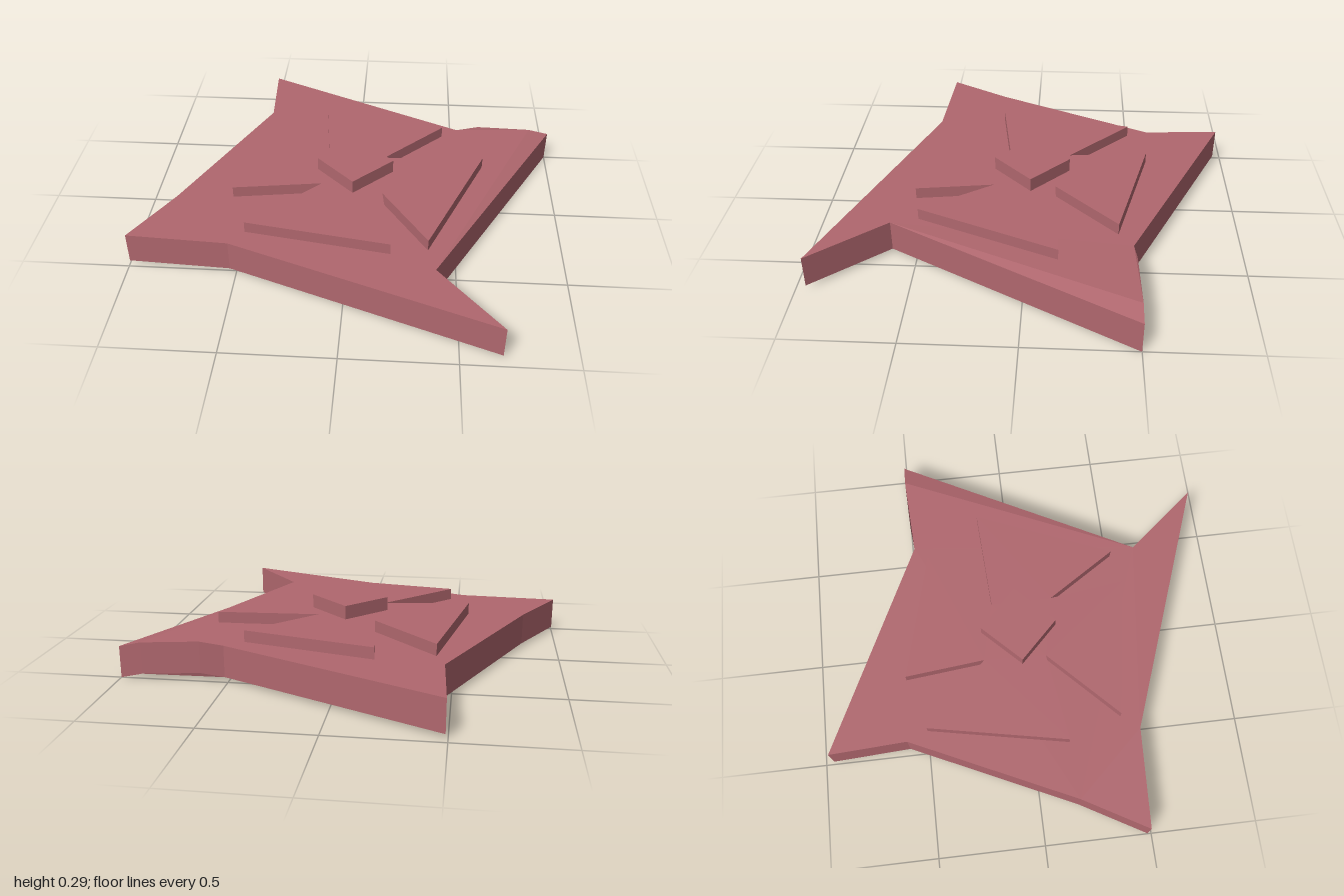
import * as THREE from 'three';

// Upright slab from a plan outline of [x, z] points
function slab(name, outline, bottom, top, material) {
  const shape = new THREE.Shape(outline.map(([x, z]) => new THREE.Vector2(x, -z)));
  const geometry = new THREE.ExtrudeGeometry(shape, { depth: top - bottom, bevelEnabled: false });
  geometry.rotateX(-Math.PI / 2).translate(0, bottom, 0);
  const mesh = new THREE.Mesh(geometry, material);
  mesh.name = name;
  return mesh;
}

export function createModel() {
  const group = new THREE.Group();
  group.name = 'starEmblem';
  const rose = new THREE.MeshStandardMaterial({ color: 0xb0676e });
  rose.name = 'dustyRose';

  // Four-pointed base plate
  const base = slab('basePlate', [
    [-0.49, -0.96], [0.52, -0.48], [0.63, -0.49], [0.9, -0.5], [1, -0.5],
    [0.4, 0.62], [0.68, 0.955], [-0.53, 0.505], [-1, 0.48], [-0.83, 0.18], [-0.47, -0.59],
  ], 0.02, 0.17, rose);

  // One tip of the plate arches slightly and droops at the end
  const p = base.geometry.attributes.position;
  for (let i = 0; i < p.count; i++) {
    const x = p.getX(i);
    if (p.getZ(i) > -0.4 || x < 0.6) continue;
    p.setY(i, p.getY(i) + (x > 0.95 ? -0.017 : x > 0.8 ? 0.005 : 0.018));
  }
  base.geometry.computeVertexNormals();

  // Raised pinwheel cross
  const cross = slab('pinwheelCross', [
    [-0.17, -0.57], [0.44, -0.415], [0.15, -0.125],
    [0.635, -0.15], [0.365, 0.495], [0.15, 0.165],
    [0.2, 0.53], [-0.465, 0.42], [-0.14, 0.105],
    [-0.56, 0.165], [-0.43, -0.49], [-0.13, -0.19],
  ], 0.16, 0.225, rose);

  // Central diamond boss
  const boss = slab('centreDiamond', [
    [0.01, -0.19], [0.195, -0.01], [0.01, 0.17], [-0.17, -0.01],
  ], 0.21, 0.29, rose);

  group.add(base, cross, boss);
  return group;
}
